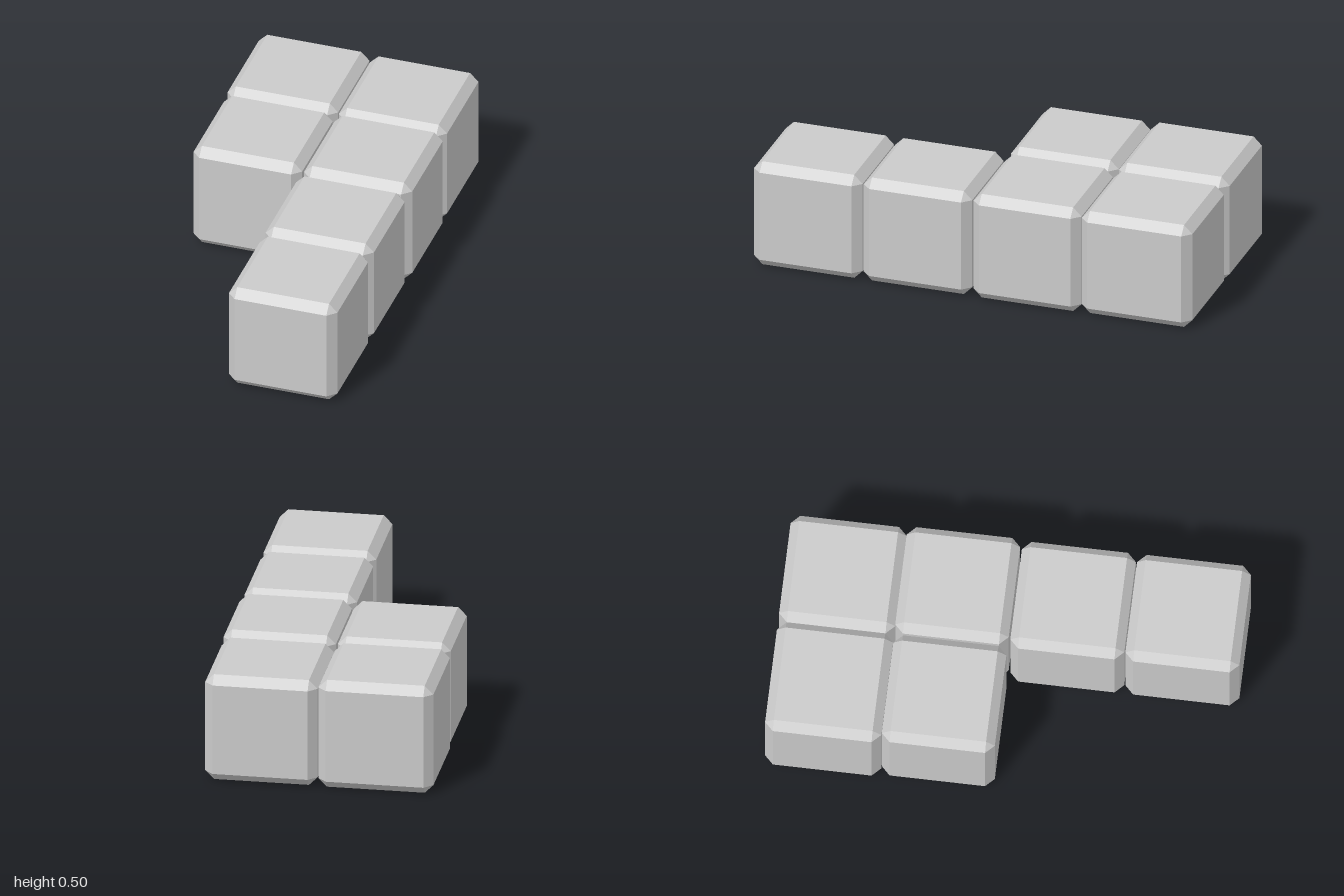
import * as THREE from 'three';
import { ConvexGeometry } from 'three/addons/geometries/ConvexGeometry.js';

const CHAMFER = 0.038;

// Box with every edge cut at 45 degrees and a small triangle at each corner
function chamferedBox(w, h, d, c) {
  const points = [];
  for (const sx of [-1, 1]) for (const sy of [-1, 1]) for (const sz of [-1, 1]) {
    const x = w / 2, y = h / 2, z = d / 2;
    points.push(
      new THREE.Vector3(sx * x, sy * (y - c), sz * (z - c)),
      new THREE.Vector3(sx * (x - c), sy * y, sz * (z - c)),
      new THREE.Vector3(sx * (x - c), sy * (y - c), sz * z),
    );
  }
  return new ConvexGeometry(points);
}

export function createModel() {
  const group = new THREE.Group();
  group.name = 'blockPiece';
  const material = new THREE.MeshStandardMaterial({ color: 0xcccccc, flatShading: true });

  // Each cube: name, x range, y range, z range, laid slightly unevenly
  const cubes = [
    ['frontCube', [0, 0.493], [0.003, 0.495], [0.505, 1]],
    ['frontMiddleCube', [0, 0.493], [0.003, 0.495], [0.005, 0.5]],
    ['backMiddleCube', [0.008, 0.5], [0.003, 0.498], [-0.496, -0.003]],
    ['backCube', [0.003, 0.495], [0.003, 0.49], [-1, -0.495]],
    ['sideMiddleCube', [-0.494, 0], [0.003, 0.498], [-0.494, -0.003]],
    ['sideBackCube', [-0.503, 0], [0, 0.497], [-1, -0.495]],
  ];
  for (const [name, x, y, z] of cubes) {
    const size = [x, y, z].map(([a, b]) => b - a);
    const cube = new THREE.Mesh(chamferedBox(...size, CHAMFER), material);
    cube.position.set(...[x, y, z].map(([a, b]) => (a + b) / 2));
    cube.name = name;
    group.add(cube);
  }
  return group;
}
